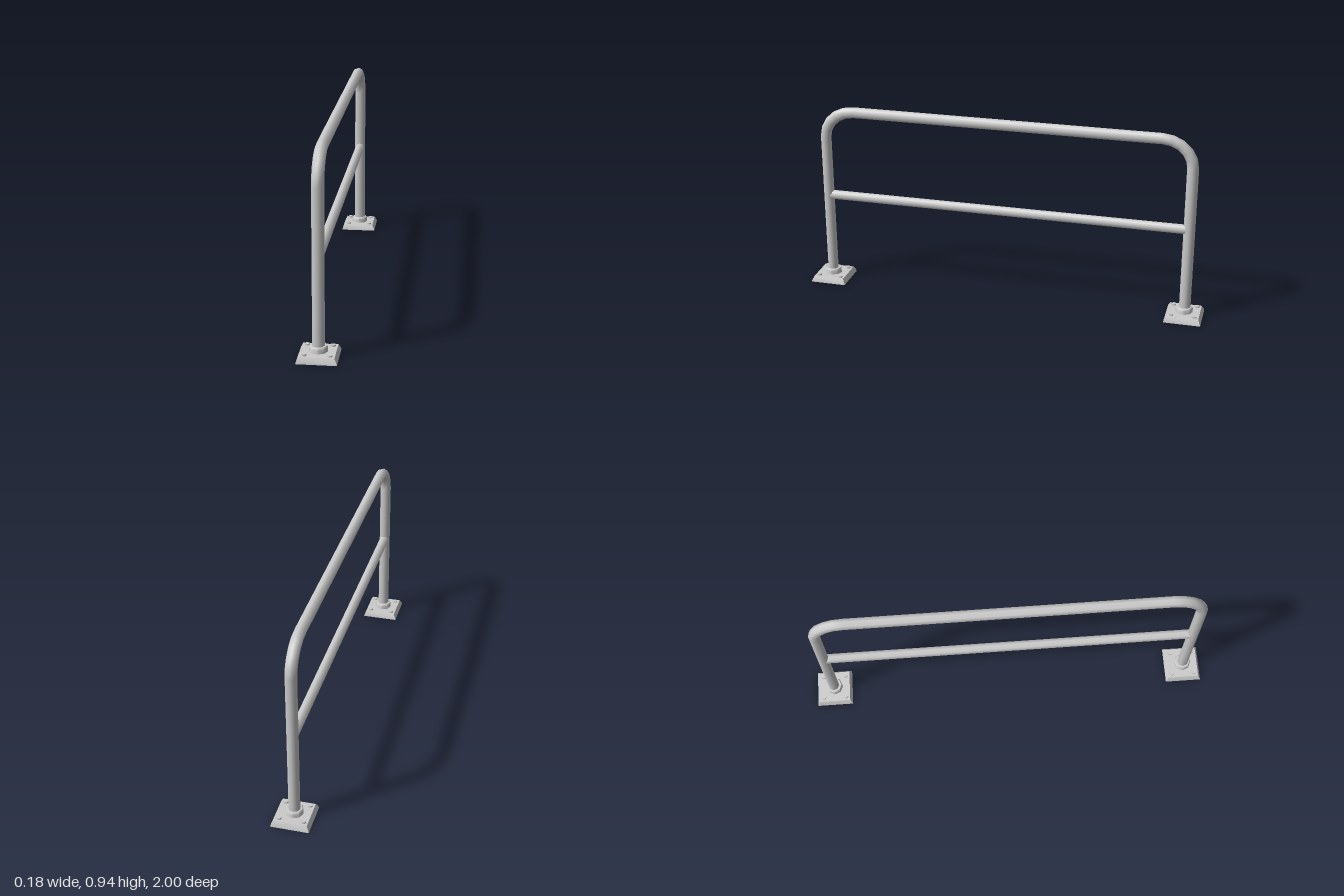
import * as THREE from 'three';
import { toCreasedNormals } from 'three/addons/utils/BufferGeometryUtils.js';

const material = new THREE.MeshStandardMaterial({ color: 0xcccccc, side: THREE.DoubleSide });
const POST_Z = 0.912, TOP_Y = 0.908, FOOT_Y = 0.015;

function addMesh(parent, name, geometry, x = 0, y = 0, z = 0) {
  const mesh = new THREE.Mesh(geometry, material);
  mesh.name = name;
  mesh.position.set(x, y, z);
  parent.add(mesh);
  return mesh;
}

// Upright, bend, top bar, bend, upright: one ring per listed station
class HoopCurve extends THREE.Curve {
  constructor(bendZ, bendY, steps) {
    super();
    this.stations = [];
    const add = (z, y, tz, ty) => this.stations.push({
      point: new THREE.Vector3(0, y, z),
      tangent: new THREE.Vector3(0, ty, tz).normalize(),
    });
    add(POST_Z, FOOT_Y, 0, 1);
    for (const side of [1, -1]) {
      for (let i = 0; i <= steps; i++) {
        const a = (side > 0 ? i : steps - i) / steps * Math.PI / 2;
        add(side * (POST_Z - bendZ + bendZ * Math.cos(a)), TOP_Y - bendY + bendY * Math.sin(a),
          -bendZ * Math.sin(a), side * bendY * Math.cos(a));
      }
    }
    add(-POST_Z, FOOT_Y, 0, -1);
  }
  station(u) { return this.stations[Math.round(u * (this.stations.length - 1))]; }
  getPoint(u) { return this.station(u).point.clone(); }
  getPointAt(u) { return this.getPoint(u); }
  getTangentAt(u) { return this.station(u).tangent.clone(); }
}

// Square ring swept through [half width, height] pairs
function squareShell(profile) {
  const points = profile.map(([w, y]) => new THREE.Vector2(w * Math.SQRT2, y));
  const geometry = new THREE.LatheGeometry(points, 4);
  geometry.rotateY(Math.PI / 4);
  return toCreasedNormals(geometry, 0.3);
}

function createFoot() {
  const foot = new THREE.Group();
  foot.name = 'foot';

  // Hollow base plate, open underneath
  addMesh(foot, 'basePlate', squareShell([[0.09, 0], [0.089, 0.006], [0.078, 0.028], [0, 0.028]]));

  // Collar around the upright, reaching through the plate
  const profile = [[0.028, 0.014], [0.042, 0.014], [0.042, 0.05], [0.038, 0.055], [0.026, 0.055]]
    .map(([r, y]) => new THREE.Vector2(r, y));
  addMesh(foot, 'collar', toCreasedNormals(new THREE.LatheGeometry(profile, 8), 0.8));

  // Corner bolts
  const bolt = toCreasedNormals(new THREE.CylinderGeometry(0.011, 0.012, 0.016, 8), 0.9);
  for (const x of [-0.057, 0.057]) {
    for (const z of [-0.057, 0.057]) addMesh(foot, 'bolt', bolt, x, 0.028, z);
  }
  return foot;
}

export function createModel() {
  const model = new THREE.Group();
  model.name = 'railing';

  // Bent outer tube
  const hoop = new HoopCurve(0.15, 0.135, 5);
  addMesh(model, 'hoopTube', new THREE.TubeGeometry(hoop, hoop.stations.length - 1, 0.028, 8));

  // Middle rail between the uprights
  const rail = new THREE.CylinderGeometry(0.0245, 0.0245, 1.8, 8);
  rail.rotateX(Math.PI / 2);
  addMesh(model, 'middleRail', rail, 0, 0.462, 0);

  // Feet
  for (const side of [1, -1]) {
    const foot = createFoot();
    foot.position.z = side * 0.91;
    model.add(foot);
  }
  return model;
}
